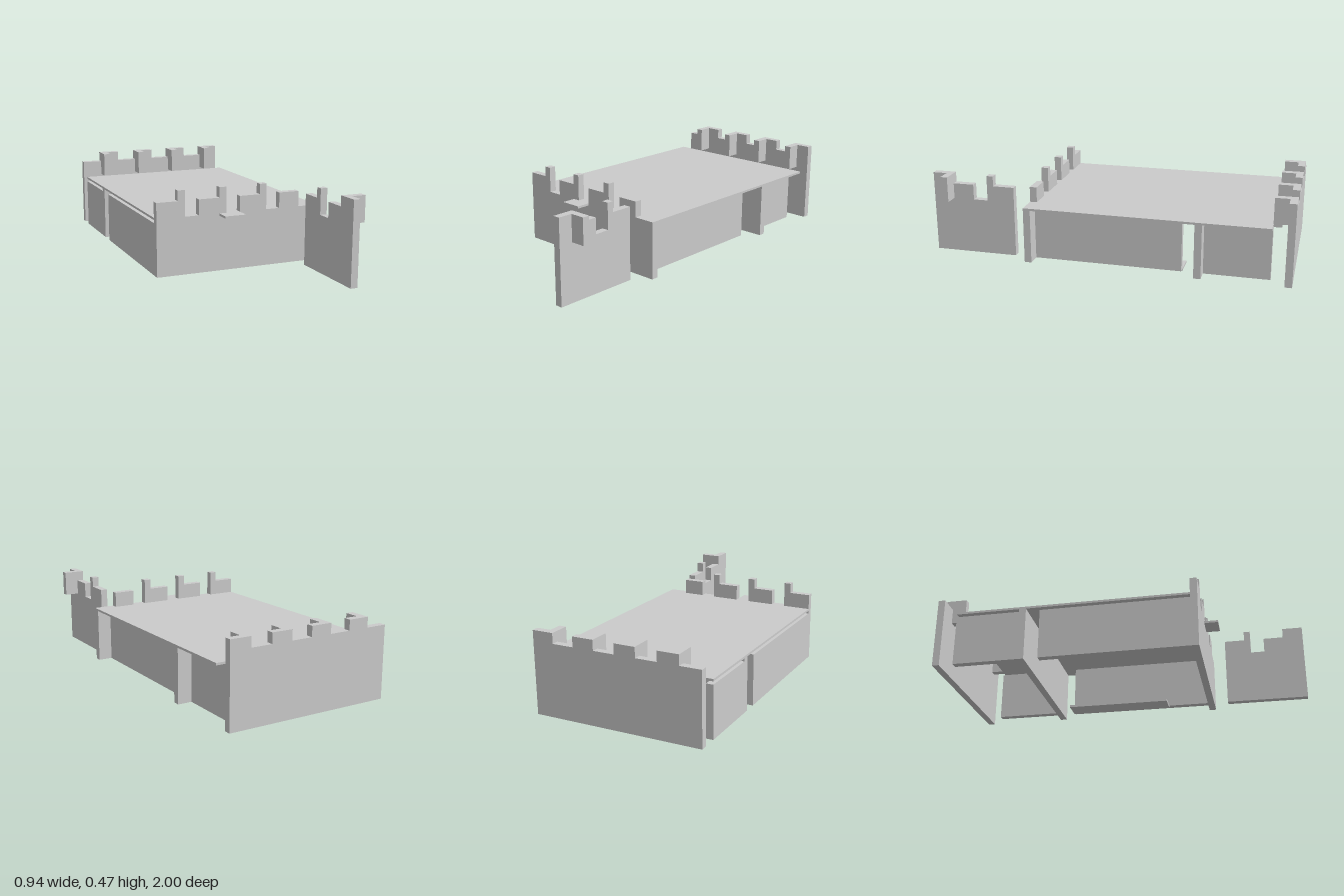
import * as THREE from 'three';

const material = new THREE.MeshStandardMaterial({ color: 0xcccccc, flatShading: true });
const BASE = 0.013, FLOOR = 0.324, LOW = 0.409, HIGH = 0.465; // wall foot, deck top, parapet, merlon

export function createModel() {
  const model = new THREE.Group();

  const add = (name, geometry) => {
    const mesh = new THREE.Mesh(geometry, material);
    mesh.name = name;
    model.add(mesh);
    return mesh;
  };

  // Box given by its limits on each axis
  const box = (name, x0, x1, y0, y1, z0, z1) =>
    add(name, new THREE.BoxGeometry(x1 - x0, y1 - y0, z1 - z0)
      .translate((x0 + x1) / 2, (y0 + y1) / 2, (z0 + z1) / 2));

  // Stepped panel: steps are [end, height] runs starting from "start"
  const panel = (name, start, steps, thickness) => {
    const shape = new THREE.Shape();
    shape.moveTo(start, BASE);
    let at = start;
    for (const [end, height] of steps) {
      shape.lineTo(at, height);
      shape.lineTo(end, height);
      at = end;
    }
    shape.lineTo(at, BASE);
    return add(name, new THREE.ExtrudeGeometry(shape, { depth: thickness, bevelEnabled: false }));
  };

  // Crenellated back and front walls, four bays each
  const bay = 0.235, half = 0.47;
  const backSteps = [], frontSteps = [];
  for (let i = 0; i < 4; i++) {
    const x = -half + i * bay;
    backSteps.push([x + bay / 2, LOW], [x + bay, HIGH]);
    frontSteps.push([x + bay / 2, LOW]);
    if (i < 3) frontSteps.push([x + bay / 2 + 0.039, HIGH]);
    frontSteps.push([x + bay, FLOOR]);
    // Return behind each merlon of the back wall
    box('merlonReturn', x + bay / 2, x + bay / 2 + 0.039, FLOOR, HIGH, -0.961, -0.883);
  }
  panel('backWall', -half, backSteps, 0.039).position.z = -1;
  panel('frontWall', -half, frontSteps, 0.039).position.z = 0.41;

  // Thin deck with a tab beyond the front wall
  box('deck', -half, half, 0.312, FLOOR, -0.883, 0.41);
  box('deckTab', -0.1175, 0, 0.312, FLOOR, 0.449, 0.527);

  // Side walls in two lengths, with an opening between them
  for (const [name, x] of [['leftSide', 0.352], ['rightSide', -half]]) {
    box(name + 'LongWall', x, x + 0.039, BASE, 0.296, -0.41, 0.41);
    box(name + 'ShortWall', x, x + 0.039, BASE, 0.296, -0.883, -0.527);
  }
  box('crossWall', -half, half, BASE, 0.312, -0.527, -0.488);

  // Strip lying under the floor
  box('baseStrip', 0.235, 0.3525, 0, BASE, -0.41, 0.178);

  // Detached front wing; the panel's axis is turned to run along -z
  const wing = panel('frontWing', -1, [
    [-0.883, HIGH], [-0.766, LOW], [-0.685, FLOOR], [-0.648, HIGH], [-0.53, LOW],
  ], 0.039);
  wing.rotation.y = Math.PI / 2;
  wing.position.x = 0.352;
  box('wingReturn', 0.391, half, FLOOR, HIGH, 0.883, 0.922);

  return model;
}
